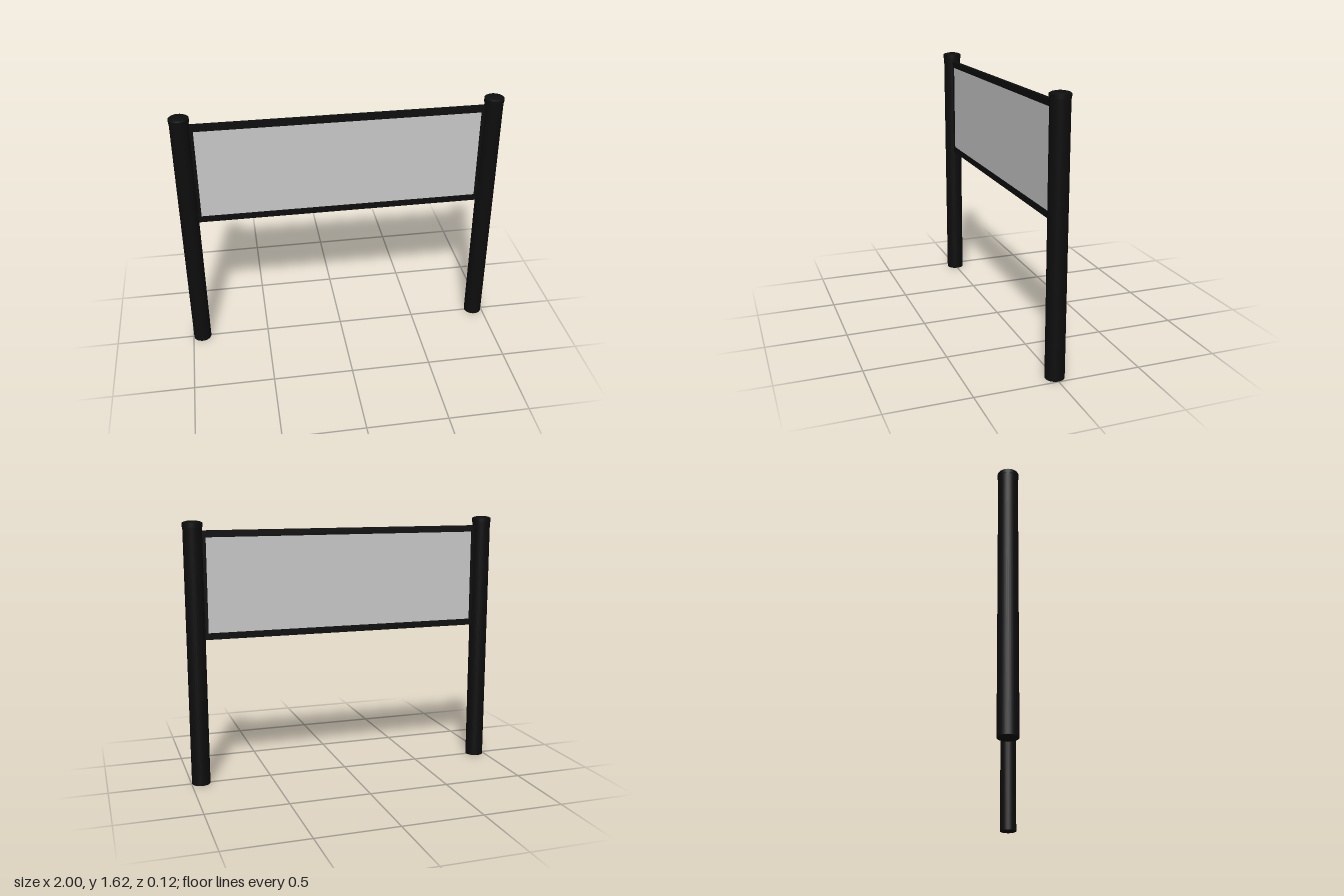
import * as THREE from 'three';

export function createModel() {
  const model = new THREE.Group();
  model.name = 'signStand';
  const black = new THREE.MeshStandardMaterial({ name: 'black', color: 0x0d0d0d });
  const grey = new THREE.MeshStandardMaterial({ name: 'lightGrey', color: 0xc8c8c8 });

  const add = (name, geometry, material, x, y) => {
    const mesh = new THREE.Mesh(geometry, material);
    mesh.name = name;
    mesh.position.set(x, y, 0);
    model.add(mesh);
  };

  // Round post with a closed foot
  const post = new THREE.CylinderGeometry(0.057, 0.057, 1.59, 32);
  // Slightly wider cap with a shallow domed top
  const capProfile = [[0, 0], [0.06, 0], [0.06, 0], [0.06, 0.025], [0.06, 0.025], [0.05, 0.031], [0.03, 0.036], [0, 0.038]]
    .map(([r, y]) => new THREE.Vector2(r, y));
  const cap = new THREE.LatheGeometry(capProfile, 32);
  const stile = new THREE.BoxGeometry(0.04, 0.655, 0.026);

  for (const [side, s] of [['left', 1], ['right', -1]]) {
    add(side + 'Post', post, black, s * 0.94, 0.795);
    add(side + 'PostCap', cap, black, s * 0.94, 1.582);
    add(side + 'FrameStile', stile, black, s * 0.885, 1.2325);
  }

  // Frame rails and the board they hold
  const rail = new THREE.BoxGeometry(1.8, 0.04, 0.026);
  add('topRail', rail, black, 0, 1.54);
  add('bottomRail', rail, black, 0, 0.925);
  add('board', new THREE.BoxGeometry(1.74, 0.59, 0.018), grey, 0, 1.2325);

  return model;
}
